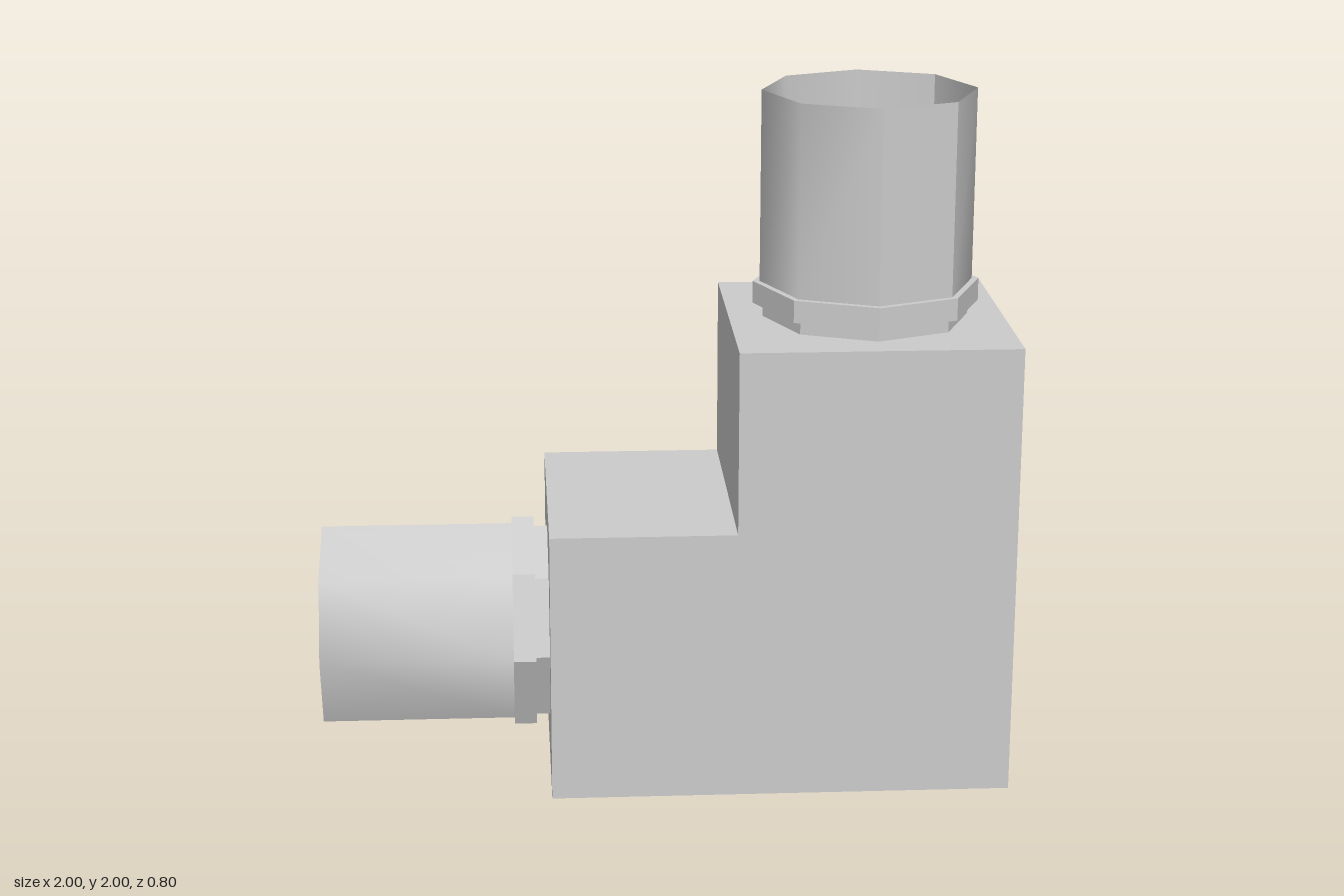
import * as THREE from 'three';

const flat = new THREE.MeshStandardMaterial({ color: 0xcccccc, side: THREE.DoubleSide, flatShading: true });
const smooth = new THREE.MeshStandardMaterial({ color: 0xcccccc, side: THREE.DoubleSide });
const EIGHTH = Math.PI / 4;
const LEFT = -0.335, STEP = 0.2, RIGHT = 1, TOP = 1.335, LOW = 0.8, HALF = 0.4;
const LENGTH = 0.665, COLLAR = 0.105;

// Flat sheet of w by h centred on its own origin, optionally with an octagonal opening
function panel(name, w, h, position, rotation, openingRadius = 0) {
  const shape = new THREE.Shape([[-1, -1], [1, -1], [1, 1], [-1, 1]]
    .map(([x, y]) => new THREE.Vector2(x * w / 2, y * h / 2)));
  if (openingRadius) {
    const ring = [];
    for (let i = 0; i < 8; i++) {
      ring.push(new THREE.Vector2(Math.cos(-i * EIGHTH), Math.sin(-i * EIGHTH)).multiplyScalar(openingRadius));
    }
    shape.holes.push(new THREE.Path(ring));
  }
  const mesh = new THREE.Mesh(new THREE.ShapeGeometry(shape), flat);
  mesh.name = name;
  mesh.position.set(...position);
  mesh.rotation.set(...rotation);
  return mesh;
}

// Open octagonal pipe along +y; arcs give [first, last] corners of each smoothly shaded run
function pipe(name, arcs) {
  const group = new THREE.Group();
  group.name = name;
  const tubeLength = LENGTH - COLLAR;
  for (const [from, to] of arcs) {
    const geometry = new THREE.CylinderGeometry(0.31, 0.31, tubeLength, to - from, 1, true,
      from * EIGHTH, (to - from) * EIGHTH);
    geometry.computeVertexNormals();
    const tube = new THREE.Mesh(geometry, smooth);
    tube.name = 'tubeWall';
    tube.position.y = COLLAR + tubeLength / 2;
    group.add(tube);
  }
  // Narrow neck and the wider collar around the tube
  const profile = [[0.3, 0], [0.3, 0.04], [0.33, 0.04], [0.33, COLLAR], [0.31, COLLAR]]
    .map(([r, y]) => new THREE.Vector2(r, y));
  const collar = new THREE.Mesh(new THREE.LatheGeometry(profile, 8), flat);
  collar.name = 'neckAndCollar';
  group.add(collar);
  return group;
}

// Hollow L-shaped housing, open underneath its tall part
function housing() {
  const group = new THREE.Group();
  group.name = 'housing';
  const outline = new THREE.Shape([[LEFT, 0], [RIGHT, 0], [RIGHT, TOP], [STEP, TOP], [STEP, LOW], [LEFT, LOW]]
    .map(([x, y]) => new THREE.Vector2(x, y)));
  for (const [name, z] of [['frontWall', HALF], ['backWall', -HALF]]) {
    const wall = new THREE.Mesh(new THREE.ShapeGeometry(outline), flat);
    wall.name = name;
    if (z < 0) wall.geometry.scale(1, 1, -1);
    wall.position.z = z;
    group.add(wall);
  }
  const q = Math.PI / 2, depth = 2 * HALF;
  const lowWidth = STEP - LEFT, lowX = (STEP + LEFT) / 2;
  group.add(
    panel('leftWall', depth, TOP, [RIGHT, TOP / 2, 0], [0, q, 0]),
    panel('stepWall', depth, TOP - LOW, [STEP, (TOP + LOW) / 2, 0], [0, -q, 0]),
    panel('stepTop', lowWidth, depth, [lowX, LOW, 0], [-q, 0, 0]),
    panel('floor', lowWidth, depth, [lowX, 0, 0], [q, 0, 0]),
    panel('topWall', RIGHT - STEP, depth, [(RIGHT + STEP) / 2, TOP, 0], [-q, 0, 0], 0.3),
    panel('rightWall', depth, LOW, [LEFT, LOW / 2, 0], [0, -q, 0], 0.3),
  );
  return group;
}

export function createModel() {
  const model = new THREE.Group();
  model.name = 'pipeElbow';

  const topPipe = pipe('topPipe', [[0, 1], [1, 3], [3, 8]]);
  topPipe.position.set((RIGHT + STEP) / 2, TOP, 0);

  const sidePipe = pipe('sidePipe', [[2, 7], [7, 10]]);
  sidePipe.rotation.z = Math.PI / 2;
  sidePipe.position.set(LEFT, LOW / 2, 0);

  model.add(housing(), topPipe, sidePipe);
  return model;
}
